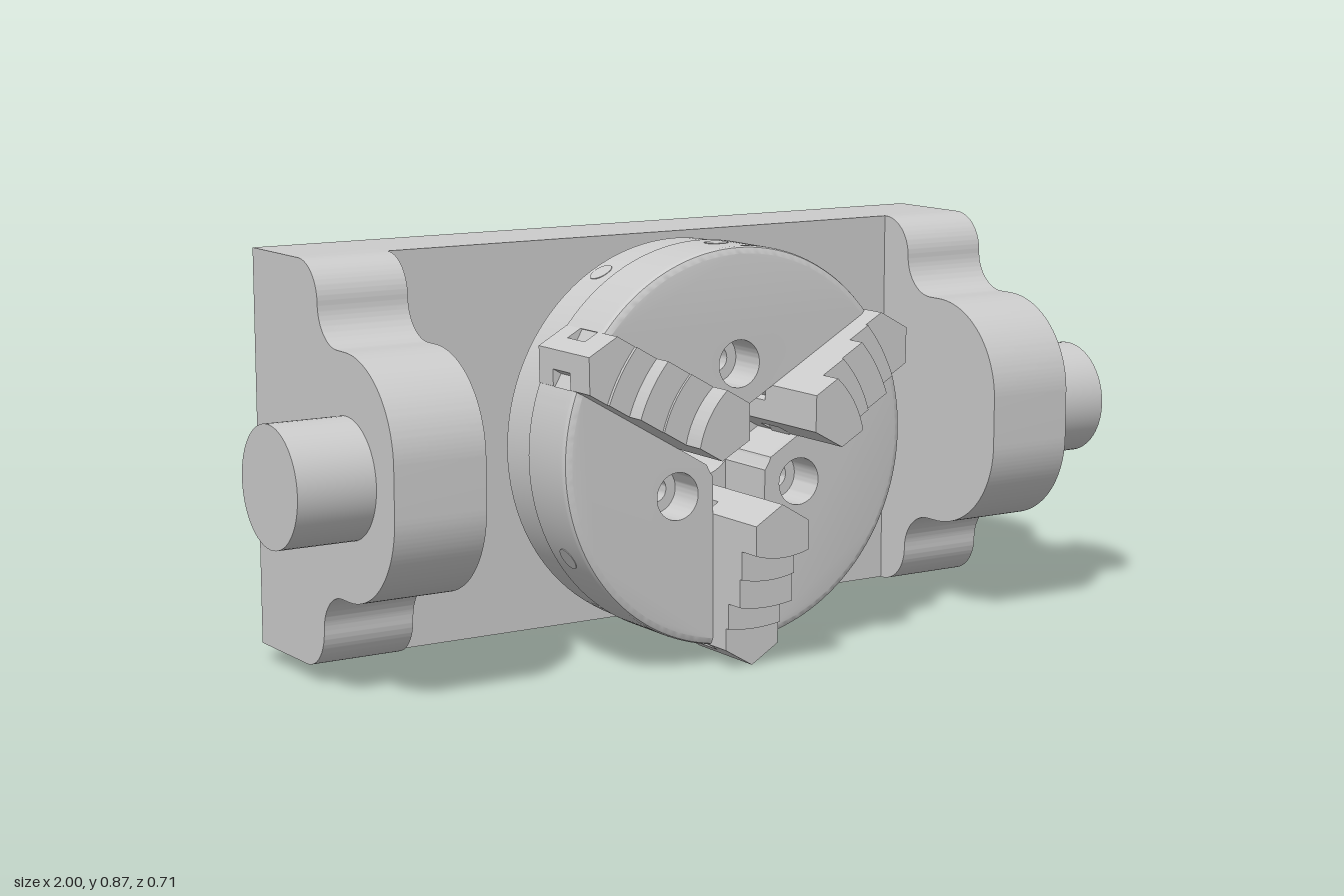
import * as THREE from 'three';
import { toCreasedNormals } from 'three/addons/utils/BufferGeometryUtils.js';

const CY = 0.453;         // height of the chuck axis
const BORE = 0.085;       // through hole radius
const RIM = 0.418;        // chuck radius
const JAW = 0.065;        // half width of jaw and slot
const PI = Math.PI;
const material = new THREE.MeshStandardMaterial({ color: 0xcccccc });

function add(parent, name, geometry) {
  const mesh = new THREE.Mesh(toCreasedNormals(geometry, 0.5), material);
  mesh.name = name;
  parent.add(mesh);
  return mesh;
}

// Extrude a shape between two z levels
function slab(shape, z0, z1, steps = 1) {
  const g = new THREE.ExtrudeGeometry(shape, { depth: z1 - z0, steps, bevelEnabled: false, curveSegments: 32 });
  return g.translate(0, 0, z0);
}

// Lathe around the z axis from [radius, z] pairs
function turned(points, segments = 96) {
  return new THREE.LatheGeometry(points.map(p => new THREE.Vector2(...p)), segments).rotateX(PI / 2);
}

function circleHole(x, y, r) {
  return new THREE.Path().absarc(x, y, r, 0, PI * 2, true);
}

// Side profile of a bracket arm; shape x runs towards the back
function armShape() {
  const s = new THREE.Shape();
  s.moveTo(0.355, 0.035);
  s.lineTo(0.355, 0.868);
  s.lineTo(0.145, 0.868);
  s.absarc(0.145, 0.785, 0.083, PI / 2, PI, false);
  s.absarc(-0.021, 0.785, 0.083, 0, -PI / 2, true);
  s.absarc(-0.052, 0.502, 0.2, PI / 2, PI, false);
  s.absarc(-0.052, 0.402, 0.2, PI, PI * 1.5, false);
  s.absarc(-0.021, 0.119, 0.083, PI / 2, 0, true);
  s.absarc(0.145, 0.118, 0.083, PI, PI * 1.5, false);
  s.closePath();
  return s;
}

// One third of the chuck face, between two jaw slots
function sectorGeometry() {
  const a = PI / 6 + Math.asin(JAW / RIM), b = PI / 6 + Math.asin(JAW / BORE);
  const s = new THREE.Shape();
  s.absarc(0, 0, RIM, a, PI - a, false);
  s.absarc(0, 0, BORE, PI - b, b, true);
  s.closePath();
  s.holes.push(circleHole(0, 0.175, 0.05));
  const g = slab(s, 0.05, 0.197, 24);
  // Round the front rim
  const p = g.attributes.position, fillet = 0.015;
  for (let i = 0; i < p.count; i++) {
    const x = p.getX(i), y = p.getY(i), r = Math.hypot(x, y);
    const t = Math.max(0, p.getZ(i) - (0.197 - fillet));
    const limit = RIM - fillet + Math.sqrt(Math.max(0, fillet * fillet - t * t));
    if (r > limit) p.setXY(i, x * limit / r, y * limit / r);
  }
  return g;
}

// Jaw outline along +y: pointed inside, pointed or arc-shaped outside
function jawShape(w, outer) {
  const slope = 0.6, s = new THREE.Shape();
  s.moveTo(-w, 0.094 + w * slope);
  s.lineTo(0, 0.094);
  s.lineTo(w, 0.094 + w * slope);
  if (outer) {
    const a = Math.asin(w / outer);
    s.absarc(0, 0, outer, PI / 2 - a, PI / 2 + a, false);
  } else {
    s.lineTo(w, 0.453 - w * slope);
    s.lineTo(0, 0.453);
    s.lineTo(-w, 0.453 - w * slope);
  }
  s.closePath();
  return s;
}

export function createModel() {
  const model = new THREE.Group();
  model.name = 'chuckFixture';

  // Back plate with through hole
  const plate = new THREE.Shape();
  plate.moveTo(-0.63, 0.035);
  plate.lineTo(0.63, 0.035);
  plate.lineTo(0.63, 0.868);
  plate.lineTo(-0.63, 0.868);
  plate.closePath();
  plate.holes.push(circleHole(0, CY, BORE));
  add(model, 'backPlate', slab(plate, -0.355, -0.15));

  // Side arms and trunnion shafts
  for (const side of [1, -1]) {
    const prefix = side > 0 ? 'left' : 'right';
    const arm = slab(armShape(), -0.101, 0.101).rotateY(PI / 2).translate(side * 0.731, 0, 0);
    add(model, prefix + 'Arm', arm);
    const shaft = new THREE.CylinderGeometry(0.124, 0.124, 0.36, 64).rotateZ(PI / 2);
    add(model, prefix + 'Shaft', shaft.translate(side * 0.82, 0.452, 0.055));
  }

  const chuck = new THREE.Group();
  chuck.name = 'chuck';
  chuck.position.y = CY;
  model.add(chuck);

  // Mounting neck, flange and rear body
  add(chuck, 'rearBody', turned([
    [BORE, -0.15], [0.22, -0.15], [0.21, -0.07], [0.28, -0.07], [0.28, -0.047],
    [0.413, -0.047], [0.413, 0.05], [BORE, 0.05], [BORE, -0.15],
  ]));

  // Jaw steps: back z, front z, half width, outer radius (0 = pointed end)
  const steps = [
    [0.05, 0.105, JAW, 0], [0.105, 0.172, 0.035, 0], [0.172, 0.247, JAW, 0],
    [0.247, 0.255, JAW, 0.373], [0.255, 0.298, JAW, 0.32],
    [0.298, 0.304, JAW, 0.262], [0.304, 0.356, JAW, 0.205],
  ];

  for (let i = 0; i < 3; i++) {
    const third = new THREE.Group();
    third.name = 'chuckThird' + (i + 1);
    third.rotation.z = i * PI * 2 / 3;
    chuck.add(third);

    // Face sector with counterbored screw
    add(third, 'faceSector', sectorGeometry());
    const screw = turned([[0.05, 0.11], [0.027, 0.11], [0.027, 0.06], [0, 0.06]], 32);
    add(third, 'screwSeat', screw.translate(0, 0.175, 0));

    // Key socket and rear rim plug
    const socket = new THREE.CylinderGeometry(0.025, 0.025, 0.02, 24);
    add(third, 'keySocket', socket.translate(0, RIM - 0.009, 0.11));
    const plug = new THREE.CylinderGeometry(0.025, 0.025, 0.02, 24);
    add(third, 'rimPlug', plug.translate(0, 0.404, -0.01).rotateZ(PI / 6));

    // Stepped jaw running on two guide rails
    const jaw = new THREE.Group();
    jaw.name = 'jaw';
    jaw.rotation.z = PI;
    third.add(jaw);
    for (const [z0, z1, w, outer] of steps) add(jaw, 'jawStep', slab(jawShape(w, outer), z0, z1));
    for (const side of [1, -1]) {
      const rail = new THREE.BoxGeometry(0.03, 0.28, 0.066);
      add(jaw, 'guideRail', rail.translate(side * 0.05, 0.27, 0.1385));
    }
  }
  return model;
}
